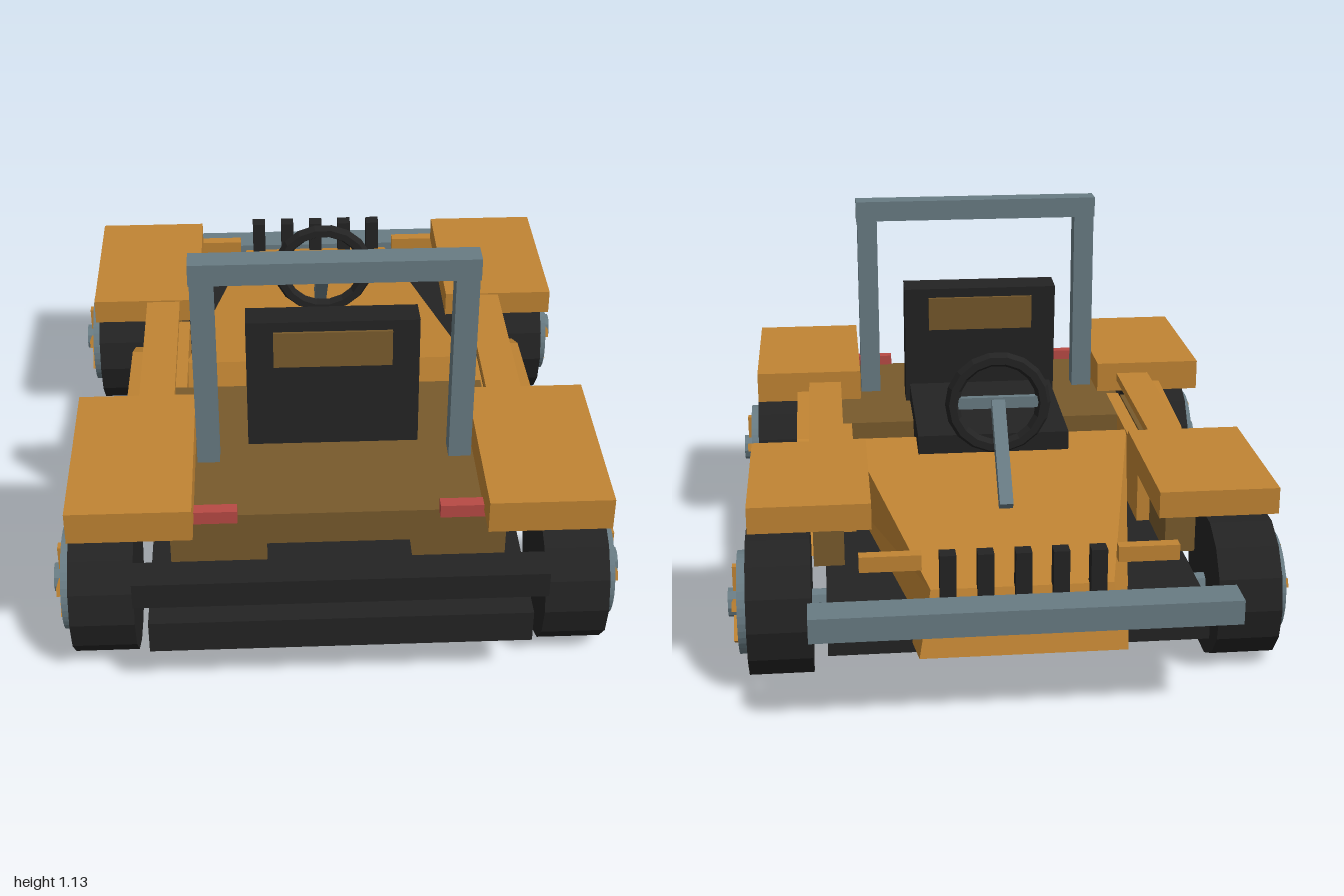
import * as THREE from 'three';

const flat = (name, color) => {
  const m = new THREE.MeshStandardMaterial({ color });
  m.name = name;
  return m;
};

export function createModel() {
  const car = new THREE.Group();
  car.name = 'buggy';
  const orange = flat('orange paint', 0xc08433);
  const brown = flat('brown panel', 0x785a2c);
  const black = flat('black', 0x232323);
  const grey = flat('grey metal', 0x687b83);
  const red = flat('red lamp', 0xb84a45);

  const add = (name, geo, mat, parent = car) => {
    const mesh = new THREE.Mesh(geo, mat);
    mesh.name = name;
    parent.add(mesh);
    return mesh;
  };
  // Box given by its limits on each axis
  const box = (name, mat, [x0, x1], [y0, y1], [z0, z1], parent = car) => {
    const mesh = add(name, new THREE.BoxGeometry(x1 - x0, y1 - y0, z1 - z0), mat, parent);
    mesh.position.set((x0 + x1) / 2, (y0 + y1) / 2, (z0 + z1) / 2);
    return mesh;
  };
  const pair = (name, mat, [x0, x1], y, z) => {
    box(name + 'Left', mat, [x0, x1], y, z);
    box(name + 'Right', mat, [-x1, -x0], y, z);
  };
  // Side profile of [z, y] points, extruded from x0 to x1
  const panel = (name, mat, pts, x0, x1) => {
    const shape = new THREE.Shape(pts.map(([z, y]) => new THREE.Vector2(-z, y)));
    const geo = new THREE.ExtrudeGeometry(shape, { depth: x1 - x0, bevelEnabled: false });
    geo.rotateY(Math.PI / 2).translate(x0, 0, 0);
    return add(name, geo, mat);
  };

  // Chassis, tub and bumpers
  box('chassis', black, [-0.53, 0.53], [0.165, 0.265], [-0.82, 1]);
  box('rearTub', brown, [-0.47, 0.47], [0.265, 0.483], [0.18, 0.81]);
  box('rearBumper', black, [-0.57, 0.57], [0.31, 0.39], [0.89, 0.985]);
  box('rearBumperMount', black, [-0.2, 0.2], [0.32, 0.38], [0.8, 0.9]);
  box('frontBumper', grey, [-0.58, 0.58], [0.295, 0.365], [-1, -0.9]);

  // Tapered hood: a box whose eight corners are moved by rule
  const hood = new THREE.BoxGeometry(2, 2, 2).toNonIndexed();
  const p = hood.attributes.position;
  for (let i = 0; i < p.count; i++) {
    const s = Math.sign(p.getX(i)), top = p.getY(i) > 0, back = p.getZ(i) > 0;
    if (back) p.setXYZ(i, s * (top ? 0.44 : 0.45), top ? 0.48 : 0.26, top ? 0.04 : 0.1);
    else p.setXYZ(i, s * (top ? 0.25 : 0.285), top ? 0.37 : 0.19, top ? -0.86 : -0.91);
  }
  hood.computeVertexNormals();
  add('hood', hood, orange);

  // Side pods
  const podProfile = [[0.57, 0.27], [0.62, 0.5], [0.39, 0.53], [0, 0.5], [-0.12, 0.44], [-0.38, 0.27]];
  for (const side of [-1, 1]) {
    const tag = side > 0 ? 'Left' : 'Right';
    const outer = panel('sidePod' + tag, orange, podProfile, side > 0 ? 0.565 : -0.61, side > 0 ? 0.61 : -0.565);
    outer.name = 'sidePod' + tag;
  }
  pair('cockpitSill', orange, [0.435, 0.475], [0.265, 0.483], [-0.2, 0.4]);
  pair('fenderSupport', brown, [0.475, 0.565], [0.265, 0.49], [-0.445, 0.36]);
  pair('sideRail', orange, [0.465, 0.57], [0.535, 0.56], [-0.2, 0.38]);

  // Fenders and lamps
  pair('frontFender', orange, [0.4, 0.74], [0.488, 0.565], [-0.71, -0.2]);
  pair('rearFender', orange, [0.4, 0.74], [0.498, 0.595], [0.38, 0.93]);
  pair('tailLamp', red, [0.28, 0.43], [0.475, 0.515], [0.8, 0.835]);
  pair('turnSignal', orange, [0.27, 0.44], [0.405, 0.45], [-0.81, -0.775]);

  // Grille slats
  for (let i = -2; i <= 2; i++)
    box('grilleSlat', black, [i * 0.102 - 0.022, i * 0.102 + 0.022], [0.31, 0.48], [-0.89, -0.845]);

  // Roll bar
  pair('rollBarPost', grey, [0.33, 0.395], [0.48, 1.08], [0.5, 0.565]);
  box('rollBarTop', grey, [-0.398, 0.398], [1.075, 1.14], [0.498, 0.567]);

  // Seat
  const cushion = box('seatCushion', black, [-0.235, 0.235], [0.44, 0.535], [-0.08, 0.4]);
  cushion.rotation.x = -0.04;
  const backrest = new THREE.Group();
  backrest.name = 'backrest';
  backrest.position.set(0, 0.48, 0.435);
  backrest.rotation.x = -0.07;
  car.add(backrest);
  box('backrestPad', black, [-0.248, 0.248], [0, 0.4], [-0.047, 0.047], backrest);
  box('backrestPanelRear', brown, [-0.17, 0.17], [0.26, 0.37], [0.047, 0.056], backrest);
  box('backrestPanelFront', brown, [-0.17, 0.17], [0.26, 0.37], [-0.056, -0.047], backrest);

  // Steering wheel and column
  const wheel = add('steeringWheel', new THREE.TorusGeometry(0.138, 0.022, 6, 18).toNonIndexed(), black);
  wheel.geometry.computeVertexNormals();
  wheel.position.set(0, 0.67, -0.205);
  box('steeringSpoke', grey, [-0.13, 0.13], [0.655, 0.69], [-0.215, -0.195]);
  const column = add('steeringColumn', new THREE.BoxGeometry(0.04, 0.04, 0.34), grey);
  column.position.set(0, 0.55, -0.325);
  column.rotation.x = -Math.PI / 4;

  // Wheels, built facing +x and turned round for the right side
  const sides = 14;
  const cylX = (r, x0, x1, n) => {
    const g = new THREE.CylinderGeometry(r, r, x1 - x0, n).toNonIndexed();
    g.rotateZ(-Math.PI / 2).translate((x0 + x1) / 2, 0, 0);
    g.computeVertexNormals();
    return g;
  };
  const ring = new THREE.Shape().absarc(0, 0, 0.148, 0, Math.PI * 2);
  ring.holes.push(new THREE.Path().absarc(0, 0, 0.108, 0, Math.PI * 2, true));
  const ringGeo = new THREE.ExtrudeGeometry(ring, { depth: 0.03, bevelEnabled: false, curveSegments: 20 });
  ringGeo.rotateY(Math.PI / 2).translate(0.75, 0, 0);
  for (const side of [1, -1])
    for (const z of [-0.55, 0.73]) {
      const g = new THREE.Group();
      g.name = (z < 0 ? 'frontWheel' : 'rearWheel') + (side > 0 ? 'Left' : 'Right');
      g.position.set(0, 0.212, z);
      if (side < 0) g.rotation.y = Math.PI;
      car.add(g);
      add('tire', cylX(0.212, 0.572, 0.753, sides), black, g);
      add('rim', ringGeo, grey, g);
      add('axle', cylX(0.03, 0.45, 0.58, 8), grey, g);
      add('hub', cylX(0.042, 0.75, 0.81, 10), grey, g);
      for (let i = 0; i < 5; i++) {
        const spoke = new THREE.BoxGeometry(0.03, 0.085, 0.026);
        spoke.translate(0.78, 0.072, 0).rotateX((i * Math.PI * 2) / 5);
        add('spoke', spoke, orange, g);
      }
    }
  return car;
}
